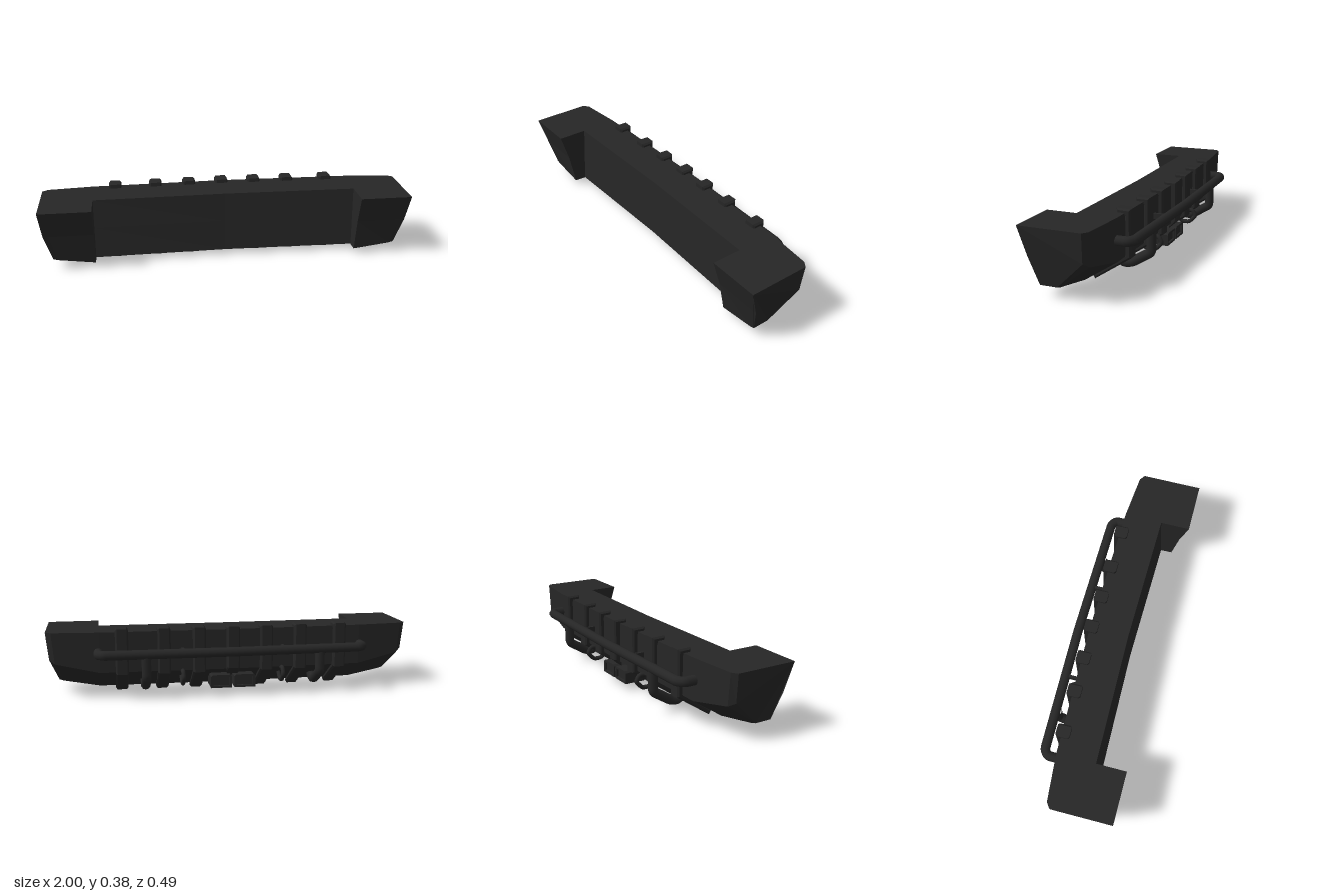
import * as THREE from 'three';

const black = new THREE.MeshStandardMaterial({ color: 0x262626, flatShading: true });
const smooth = new THREE.MeshStandardMaterial({ color: 0x262626 });

// Each station is a loop of [x, y, z]: front top, mid, bottom, back bottom, knee, back top
const at = (x, pts) => pts.map(([z, y]) => [x, y, z]);
const halfStations = [
  at(0, [[0.07, 0.36], [0.077, 0.2], [0.085, 0.03], [0.03, 0.025], [-0.145, 0.14], [-0.145, 0.36]]),
  at(0.72, [[0.082, 0.36], [0.09, 0.2], [0.1, 0.03], [0.045, 0.025], [-0.13, 0.14], [-0.13, 0.36]]),
  at(0.72, [[0.245, 0.36], [0.2, 0.21], [0.165, 0.03], [0.045, 0.025], [-0.13, 0.14], [-0.13, 0.36]]),
  [[0.97, 0.36, 0.245], [0.955, 0.21, 0.2], [0.92, 0.056, 0.165],
    [0.92, 0.056, 0.07], [0.955, 0.19, -0.105], [0.97, 0.36, -0.107]],
  [[1, 0.36, 0.245], [0.985, 0.21, 0.2], [0.945, 0.063, 0.165],
    [0.945, 0.063, 0.075], [0.985, 0.21, -0.08], [1, 0.36, -0.085]],
];

function shell() {
  const mirrored = halfStations.slice(1).reverse().map(s => s.map(([x, y, z]) => [-x, y, z]));
  const st = [...mirrored, ...halfStations];
  const n = st[0].length, index = [];
  for (let i = 0; i < st.length - 1; i++) {
    for (let j = 0; j < n; j++) {
      const a = i * n + j, b = i * n + (j + 1) % n;
      index.push(a, b, b + n, a, b + n, a + n);
    }
  }
  const last = (st.length - 1) * n;
  for (let j = 1; j < n - 1; j++) {
    index.push(last, last + j, last + j + 1);
    index.push(0, j + 1, j);
  }
  const g = new THREE.BufferGeometry();
  g.setAttribute('position', new THREE.Float32BufferAttribute(st.flat(2), 3));
  g.setIndex(index);
  const flat = g.toNonIndexed();
  flat.computeVertexNormals();
  return flat;
}

// Side profile of [z, y] points, extruded across x with chamfered edges
function sideExtrude(pts, width, bevel) {
  const shape = new THREE.Shape(pts.map(([z, y]) => new THREE.Vector2(z, y)));
  const g = new THREE.ExtrudeGeometry(shape, {
    depth: width - 2 * bevel, bevelEnabled: true, bevelThickness: bevel,
    bevelSize: bevel, bevelOffset: -bevel, bevelSegments: 1,
  });
  return g.translate(0, 0, bevel - width / 2).rotateY(-Math.PI / 2);
}

// Straight pipe runs joined by short rounded bends
function pipe(points, radius, bend, segments) {
  const p = points.map(q => new THREE.Vector3(...q));
  const path = new THREE.CurvePath();
  let from = p[0];
  for (let i = 1; i < p.length - 1; i++) {
    const toward = k => p[i].clone().add(p[k].clone().sub(p[i]).setLength(bend));
    const start = toward(i - 1), end = toward(i + 1);
    path.add(new THREE.LineCurve3(from, start));
    path.add(new THREE.QuadraticBezierCurve3(start, p[i], end));
    from = end;
  }
  path.add(new THREE.LineCurve3(from, p[p.length - 1]));
  return new THREE.TubeGeometry(path, segments, radius, 10);
}

export function createModel() {
  const model = new THREE.Group();
  const add = (name, geometry, material = black, x = 0, y = 0, z = 0) => {
    const mesh = new THREE.Mesh(geometry, material);
    mesh.name = name;
    mesh.position.set(x, y, z);
    model.add(mesh);
    return mesh;
  };

  add('bumperShell', shell());

  // Ribs wrapping over the top, down the outer face and under the slope
  const ribProfile = [[-0.093, 0.34], [-0.093, 0.381], [-0.168, 0.379], [-0.168, 0.132],
    [0.03, 0], [0.045, 0.024], [-0.135, 0.15], [-0.135, 0.34]];
  for (const x of [0.185, 0.375, 0.6]) {
    for (const s of [-1, 1]) {
      add('rib', sideExtrude(ribProfile, 0.07, 0.009), black, s * x, 0, 0.02 * x - 0.005);
    }
  }
  add('centreRib', sideExtrude([[-0.1, 0.34], [-0.1, 0.379], [-0.175, 0.379], [-0.175, 0.15],
    [-0.13, 0.11], [-0.13, 0.34]], 0.07, 0.008));

  // Long guard bar with returns into the shell
  add('guardBar', pipe([[-0.724, 0.25, -0.11], [-0.724, 0.25, -0.185], [-0.695, 0.25, -0.208],
    [0, 0.25, -0.219], [0.695, 0.25, -0.208], [0.724, 0.25, -0.185], [0.724, 0.25, -0.11]],
    0.026, 0.012, 160), smooth);

  const lampFrame = new THREE.Shape([[-0.058, -0.036], [0.058, -0.036], [0.058, 0.026],
    [0.048, 0.036], [-0.048, 0.036], [-0.058, 0.026]].map(p => new THREE.Vector2(...p)));
  lampFrame.holes.push(new THREE.Path([[-0.044, -0.024], [-0.044, 0.024], [0.044, 0.024],
    [0.044, -0.024]].map(p => new THREE.Vector2(...p))));

  for (const s of [-1, 1]) {
    // Hooked pipes dropping from the guard bar and curling under the shell
    add('hookPipe', pipe([[0, 0.25, -0.205], [0, 0.122, -0.205], [0, 0.053, -0.094],
      [0, 0.049, -0.055], [0, 0.085, -0.01]], 0.026, 0.018, 50), smooth, s * 0.475);

    // Bar brackets and small tow loops
    add('barBracket', new THREE.BoxGeometry(0.016, 0.03, 0.08), black, s * 0.275, 0.25, -0.17);
    add('towLoop', pipe([[0, 0.135, -0.12], [0, 0.14, -0.165], [0, 0.105, -0.185],
      [0, 0.065, -0.145], [0, 0.065, -0.1], [0, 0.1, -0.06]], 0.012, 0.014, 40), smooth, s * 0.275);

    // Lamp housings with recessed lenses
    add('lampHousing', new THREE.ExtrudeGeometry(lampFrame, { depth: 0.12, bevelEnabled: false }),
      black, s * 0.065, 0.073, -0.16);
    add('lampLens', new THREE.BoxGeometry(0.09, 0.05, 0.02), black, s * 0.065, 0.073, -0.138);
  }
  return model;
}
